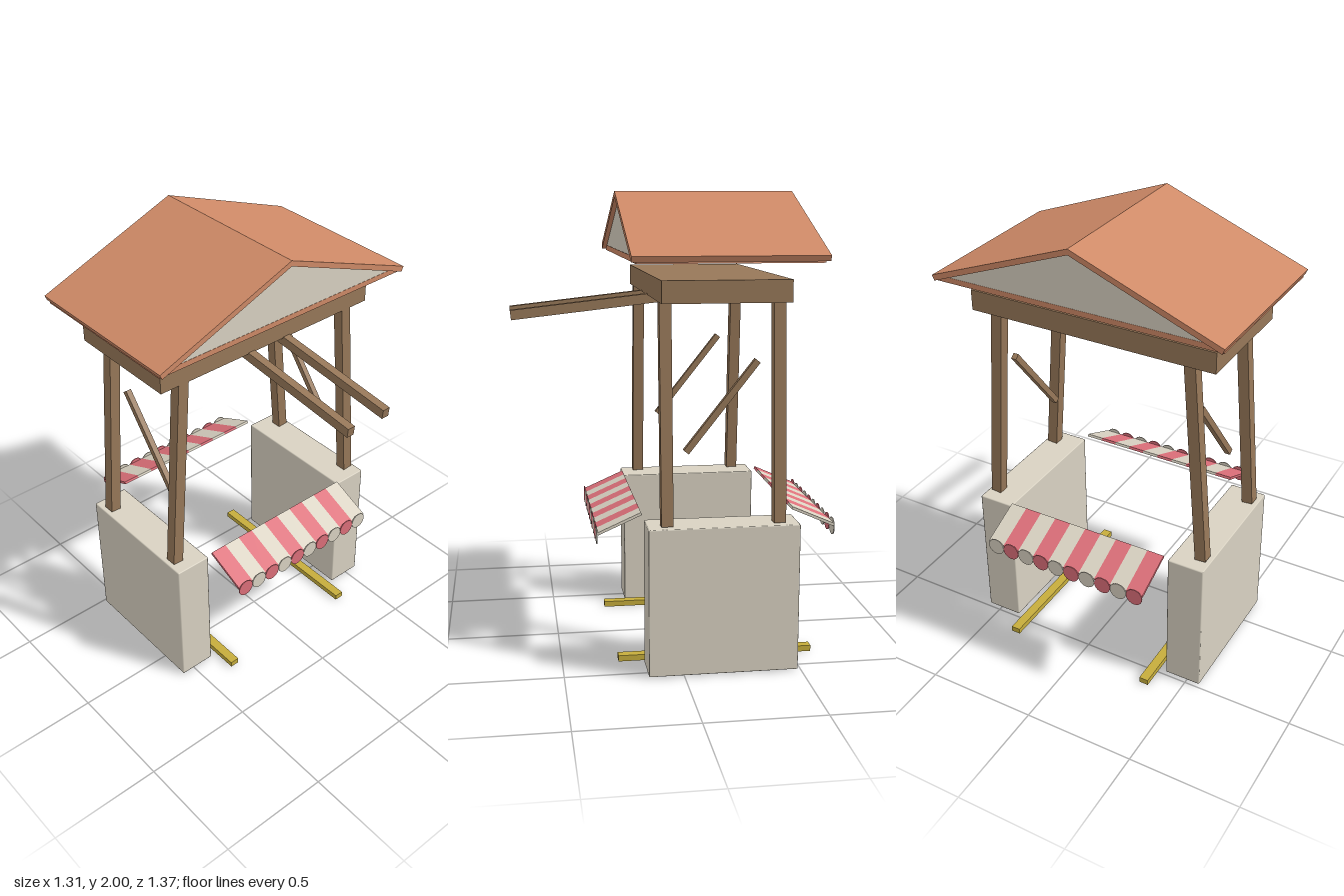
import * as THREE from 'three';
import { RoundedBoxGeometry } from 'three/addons/geometries/RoundedBoxGeometry.js';

const mat = (name, color) => Object.assign(new THREE.MeshStandardMaterial({ color }), { name });

export function createModel() {
  const terracotta = mat('terracotta', 0xcf8a67);
  const cream = mat('cream', 0xd9d2c2);
  const wood = mat('wood', 0x977859);
  const red = mat('awning red', 0xdc6f79);
  const yellow = mat('yellow', 0xc6ad3c);

  const model = new THREE.Group();
  model.name = 'marketStall';
  const MID = -0.168; // centre of the stall body in z

  const add = (name, geo, material, x = 0, y = 0, z = 0, parent = model) => {
    const mesh = new THREE.Mesh(geo, material);
    mesh.name = name;
    mesh.position.set(x, y, z);
    parent.add(mesh);
    return mesh;
  };

  // Straight timber between two points
  const bar = (name, a, b, w, h) => {
    const p = new THREE.Vector3(...a), q = new THREE.Vector3(...b);
    const mid = p.clone().add(q).multiplyScalar(0.5);
    const mesh = add(name, new THREE.BoxGeometry(w, h, p.distanceTo(q)), wood, mid.x, mid.y, mid.z);
    mesh.lookAt(q);
    return mesh;
  };

  // Outline extruded along z and centred on the stall
  const prism = (name, points, depth, material) => {
    const shape = new THREE.Shape(points.map(([x, y]) => new THREE.Vector2(x, y)));
    const geo = new THREE.ExtrudeGeometry(shape, { depth, bevelEnabled: false });
    return add(name, geo, material, 0, 0, MID - depth / 2);
  };

  // Side walls, ground rails, leaning posts, braces and front poles
  for (const s of [1, -1]) {
    const side = s > 0 ? 'left' : 'right';
    add(side + 'Wall', new RoundedBoxGeometry(0.166, 0.636, 0.636, 1, 0.005), cream, s * 0.48, 0.323, MID);
    add(side + 'Rail', new THREE.BoxGeometry(0.042, 0.026, 0.852), yellow, s * 0.342, 0.013, MID);
    bar(side + 'FrontPost', [s * 0.52, 0.645, 0.07], [s * 0.447, 1.575, 0.07], 0.05, 0.05);
    bar(side + 'BackPost', [s * 0.52, 0.645, -0.402], [s * 0.447, 1.575, -0.402], 0.05, 0.05);
    bar(side + 'Brace', [s * 0.447, 0.938, -0.02], [s * 0.447, 1.314, -0.317], 0.025, 0.027);
    bar(side + 'FrontPole', [s * 0.096, 1.554, 0.008], [s * 0.096, 1.48, 0.683], 0.035, 0.042);
  }

  // Deck under the roof
  add('deck', new THREE.BoxGeometry(1.126, 0.092, 0.53), wood, 0, 1.606, MID);

  // Gable roof: two sloping panels, cream gable body and a floor strip
  for (const s of [1, -1]) {
    const pts = [[0, 2], [0, 1.975], [s * 0.643, 1.727], [s * 0.653, 1.75]];
    prism(s > 0 ? 'leftRoofPanel' : 'rightRoofPanel', pts, 0.786, terracotta);
  }
  prism('gable', [[-0.6, 1.744], [0.6, 1.744], [0, 1.976]], 0.745, cream);
  prism('roofFloor', [[-0.643, 1.721], [0.643, 1.721], [0.64, 1.729], [0.6, 1.745], [-0.6, 1.745], [-0.64, 1.729]],
    0.747, terracotta);

  // Striped awnings with a scalloped edge, front and back
  const count = 10, pitch = 0.0767;
  const stripe = new THREE.BoxGeometry(pitch, 0.012, 0.203);
  const scallop = new THREE.CylinderGeometry(0.038, 0.038, 0.004, 20).rotateX(Math.PI / 2);
  for (const s of [1, -1]) {
    const awning = new THREE.Group();
    awning.name = s > 0 ? 'frontAwning' : 'backAwning';
    awning.position.z = MID;
    model.add(awning);
    for (let i = 0; i < count; i++) {
      const x = (i - (count - 1) / 2) * pitch;
      const material = i % 2 ? cream : red;
      add('stripe', stripe, material, x, 0.622, s * 0.419, awning).rotation.x = s * 0.415;
      add('scallop', scallop, material, x, 0.567, s * 0.514, awning);
    }
  }
  return model;
}
